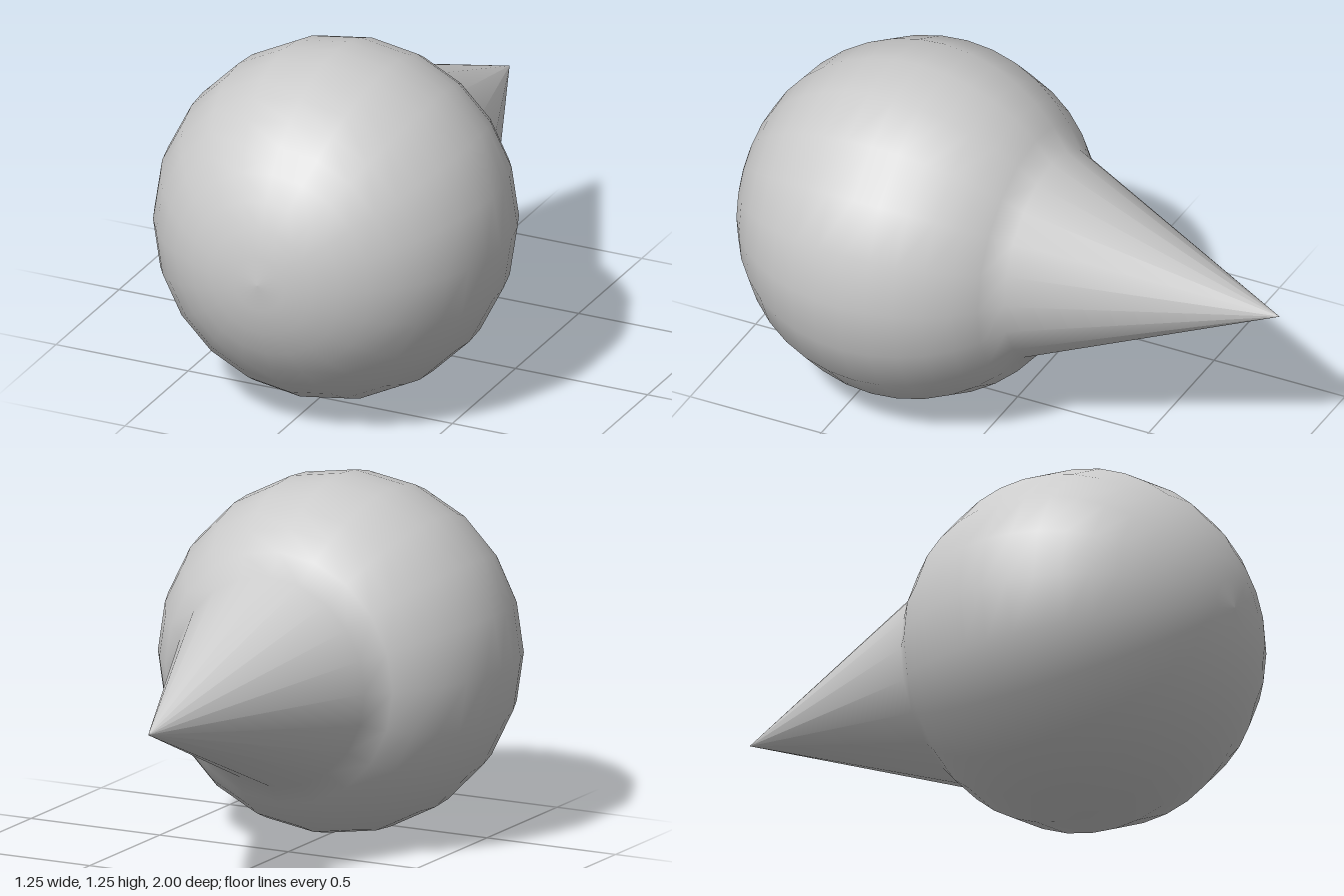
import * as THREE from 'three';

export function createModel() {
  const group = new THREE.Group();
  const radius = 0.625, centre = 0.375, sides = 20, steps = 16;
  const joint = Math.PI / 5; // angle from the axis where the cone meets the ball

  // Profile from the cone's tip, along the cone, then around the ball
  const profile = [new THREE.Vector2(0, -1)];
  for (let i = 0; i <= steps; i++) {
    const a = joint + (Math.PI - joint) * i / steps;
    const r = i === steps ? 0 : radius * Math.sin(a);
    profile.push(new THREE.Vector2(r, centre - radius * Math.cos(a)));
  }

  // Turned body, laid down so the ball faces the front and the tip the back
  const geometry = new THREE.LatheGeometry(profile, sides);
  geometry.rotateX(Math.PI / 2);
  geometry.translate(0, radius, 0);

  const body = new THREE.Mesh(geometry, new THREE.MeshStandardMaterial({ color: 0xcccccc }));
  body.name = 'ballWithPointedTail';
  group.add(body);
  return group;
}
